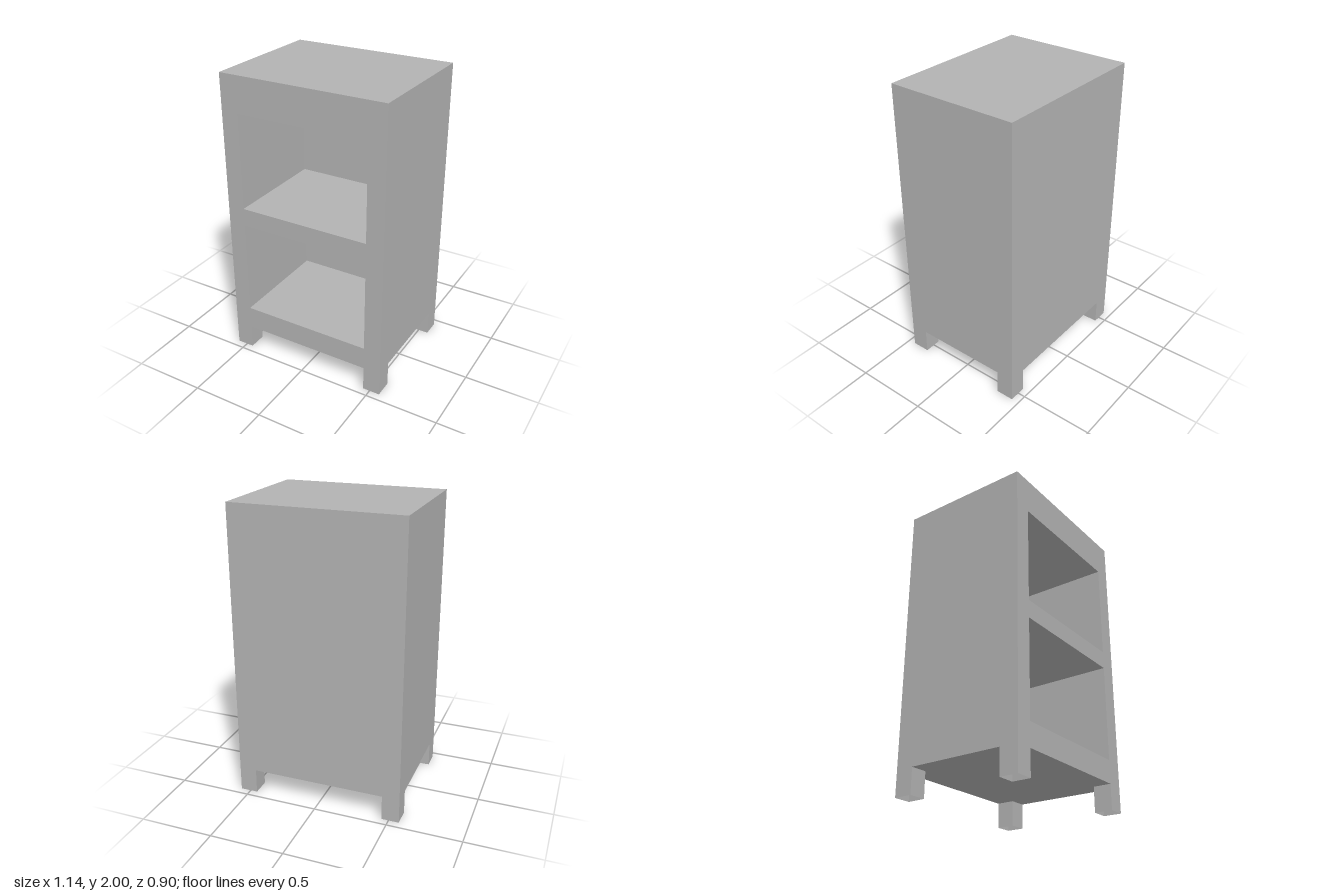
import * as THREE from 'three';

const W = 0.57, D = 0.448, H = 2;        // half width, half depth, height
const LX = 0.452, LZ = 0.325, LEG = 0.17; // inner edges and height of the legs
const BACK = -0.29;                       // back wall of the compartments

function outline(points) {
  return new THREE.Shape(points.map(([x, y]) => new THREE.Vector2(x, y)));
}

// Upright wall whose lower corners run down into the legs
function wallShape(half, inner) {
  return outline([[-half, 0], [-inner, 0], [-inner, LEG], [inner, LEG],
    [inner, 0], [half, 0], [half, H], [-half, H]]);
}

// Open-fronted box with its faces turned inward
function compartmentGeometry(bottom, top) {
  const depth = D - BACK;
  const g = new THREE.BoxGeometry(LX * 2, top - bottom, depth);
  const index = Array.from(g.index.array);
  index.splice(24, 6); // drop the front face
  g.setIndex(index.reverse());
  g.clearGroups();
  g.computeVertexNormals();
  g.translate(0, (top + bottom) / 2, BACK + depth / 2);
  return g;
}

export function createModel() {
  const group = new THREE.Group();
  const grey = new THREE.MeshStandardMaterial({ color: 0xb2b2b2, side: THREE.DoubleSide });
  grey.name = 'grey';

  const add = (name, geometry) => {
    const mesh = new THREE.Mesh(geometry, grey);
    mesh.name = name;
    group.add(mesh);
    return mesh;
  };

  // Front frame with two openings, each leading into a compartment
  const front = wallShape(W, LX);
  for (const [name, bottom, top] of [['lower', 0.328, 0.984], ['upper', 1.105, 1.758]]) {
    front.holes.push(outline([[-LX, bottom], [-LX, top], [LX, top], [LX, bottom]]));
    add(name + 'Compartment', compartmentGeometry(bottom, top));
  }
  add('frontFrame', new THREE.ShapeGeometry(front).translate(0, 0, D));

  // Back and side walls
  add('backWall', new THREE.ShapeGeometry(wallShape(W, LX)).rotateY(Math.PI).translate(0, 0, -D));
  for (const s of [1, -1]) {
    add(s > 0 ? 'leftWall' : 'rightWall',
      new THREE.ShapeGeometry(wallShape(D, LZ)).rotateY(s * Math.PI / 2).translate(s * W, 0, 0));
  }

  // Top, and underside notched at the hollow legs
  add('top', new THREE.PlaneGeometry(W * 2, D * 2).rotateX(-Math.PI / 2).translate(0, H, 0));
  const base = outline([[-LX, -D], [LX, -D], [LX, -LZ], [W, -LZ], [W, LZ], [LX, LZ],
    [LX, D], [-LX, D], [-LX, LZ], [-W, LZ], [-W, -LZ], [-LX, -LZ]]);
  add('underside', new THREE.ShapeGeometry(base).rotateX(Math.PI / 2).translate(0, LEG, 0));

  // Inner faces of the four legs, open at the foot
  for (const sx of [1, -1]) {
    for (const sz of [1, -1]) {
      const name = (sz > 0 ? 'front' : 'back') + (sx > 0 ? 'Left' : 'Right') + 'Leg';
      add(name + 'InnerSide', new THREE.PlaneGeometry(D - LZ, LEG)
        .rotateY(-sx * Math.PI / 2).translate(sx * LX, LEG / 2, sz * (D + LZ) / 2));
      add(name + 'InnerEnd', new THREE.PlaneGeometry(W - LX, LEG)
        .rotateY(sz > 0 ? Math.PI : 0).translate(sx * (W + LX) / 2, LEG / 2, sz * LZ));
    }
  }
  return group;
}
